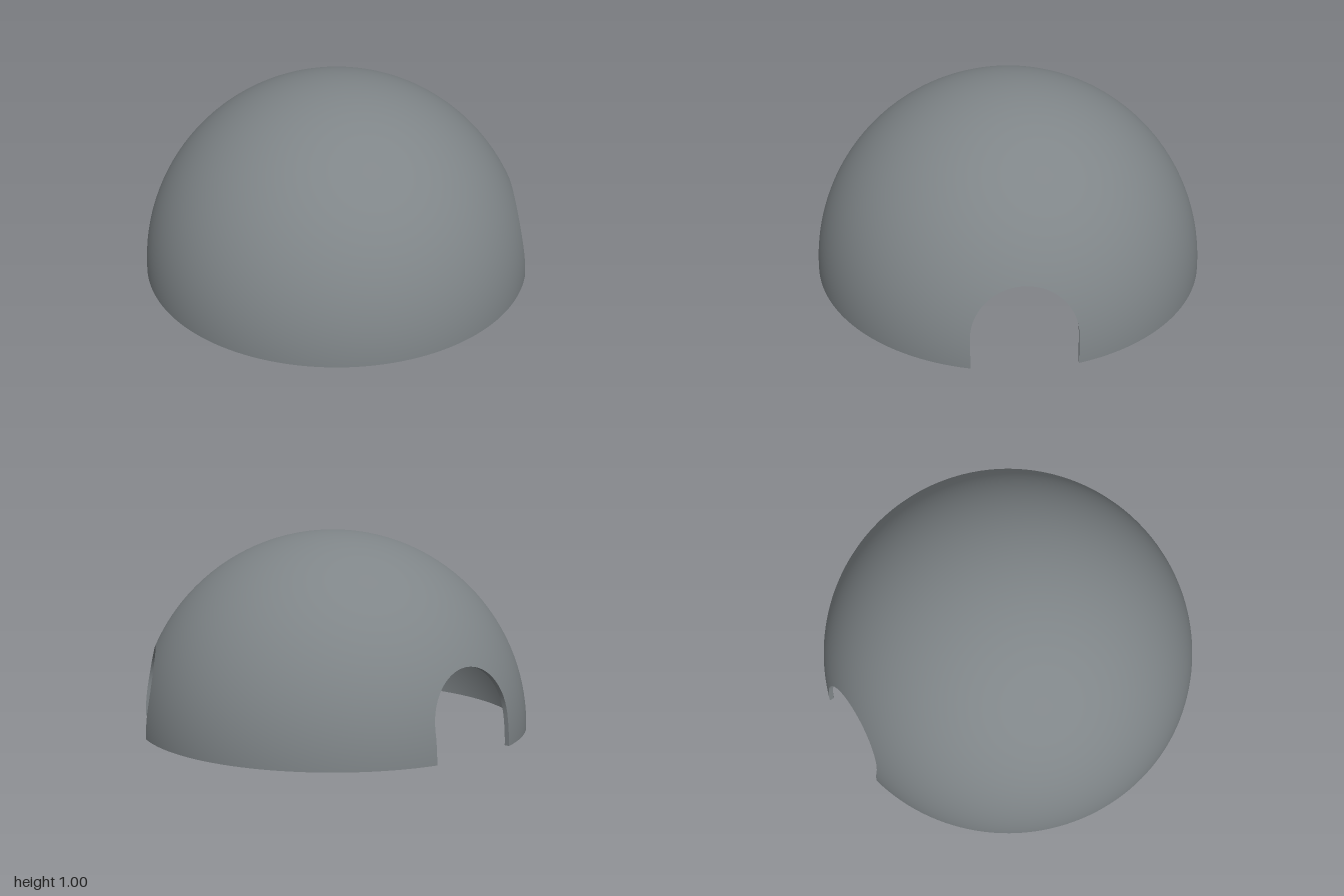
import * as THREE from 'three';
import { toCreasedNormals } from 'three/addons/utils/BufferGeometryUtils.js';

const OUTER = 1, INNER = 0.975;          // shell radii
const HALF = 0.26, SPRING = 0.16;        // doorway half width and start of its round arch
const DOORS = [193, 320].map(THREE.MathUtils.degToRad);
const SPREAD = THREE.MathUtils.degToRad(32);
const RING = THREE.MathUtils.degToRad(42); // latitude where the columns become meridians
const lerp = THREE.MathUtils.lerp;

// Point on a sphere of radius r from azimuth and latitude
const onSphere = (r, az, lat) => new THREE.Vector3(
  r * Math.cos(lat) * Math.cos(az), r * Math.sin(lat), r * Math.cos(lat) * Math.sin(az));

// Doorway outline as (sideways, height) pairs: jamb, arch, jamb
function doorOutline() {
  const pts = [];
  for (let i = 0; i < 5; i++) pts.push([-HALF, SPRING * i / 5]);
  for (let i = 0; i <= 28; i++) {
    const a = Math.PI * (1 - i / 28);
    pts.push([HALF * Math.cos(a), SPRING + HALF * Math.sin(a)]);
  }
  for (let i = 4; i >= 0; i--) pts.push([HALF, SPRING * i / 5]);
  return pts;
}

// Lower border of a shell: edge points, each with the azimuth its column heads for
function border(r) {
  const edge = [], outline = doorOutline(), corner = Math.asin(HALF / r);
  DOORS.forEach((door, k) => {
    outline.forEach(([s, y], i) => {
      const az = door + Math.atan2(s, Math.sqrt(r * r - s * s - y * y));
      edge.push({ p: onSphere(r, az, Math.asin(y / r)),
        az: door + lerp(-SPREAD, SPREAD, i / (outline.length - 1)) });
    });
    const next = k + 1 < DOORS.length ? DOORS[k + 1] : DOORS[0] + 2 * Math.PI;
    const n = Math.ceil((next - door) / 0.05);
    for (let i = 1; i < n; i++) {
      edge.push({ p: onSphere(r, lerp(door + corner, next - corner, i / n), 0),
        az: lerp(door + SPREAD, next - SPREAD, i / n) });
    }
  });
  edge.push(edge[0]);
  return edge;
}

// Surface through rows of points
function gridGeometry(rows, flip) {
  const n = rows[0].length, index = [];
  for (let j = 0; j < rows.length - 1; j++) {
    for (let i = 0; i < n - 1; i++) {
      const a = j * n + i, b = a + 1, c = a + n, d = c + 1;
      if (flip) index.push(a, b, c, b, d, c);
      else index.push(a, c, b, b, c, d);
    }
  }
  const g = new THREE.BufferGeometry().setFromPoints(rows.flat());
  g.setIndex(index);
  return g;
}

// Dome skin: from the border up to the ring, then along meridians to the pole
function skin(r, inward) {
  const edge = border(r), rows = [];
  for (let j = 0; j <= 16; j++) {
    rows.push(edge.map(e => {
      if (j === 0) return e.p.clone();
      return e.p.clone().lerp(onSphere(r, e.az, RING), j / 16).setLength(r);
    }));
  }
  for (let j = 1; j <= 16; j++) {
    rows.push(edge.map(e => onSphere(r, e.az, lerp(RING, Math.PI / 2, j / 16))));
  }
  const g = gridGeometry(rows, inward);
  const normals = rows.flat().flatMap(p => p.clone().setLength(inward ? -1 : 1).toArray());
  g.setAttribute('normal', new THREE.Float32BufferAttribute(normals, 3));
  return g;
}

export function createModel() {
  const group = new THREE.Group();
  group.name = 'dome';
  const grey = new THREE.MeshStandardMaterial({ color: 0x7f8588 });
  grey.name = 'grey';
  const add = (geometry, name) => {
    const mesh = new THREE.Mesh(geometry, grey);
    mesh.name = name;
    group.add(mesh);
  };

  add(skin(OUTER, false), 'outerShell');
  add(skin(INNER, true), 'innerShell');

  // Thickness of the wall along the base and around both doorways
  const rim = gridGeometry([border(OUTER), border(INNER)].map(e => e.map(v => v.p)), true);
  add(toCreasedNormals(rim, 0.6), 'wallRim');
  return group;
}
